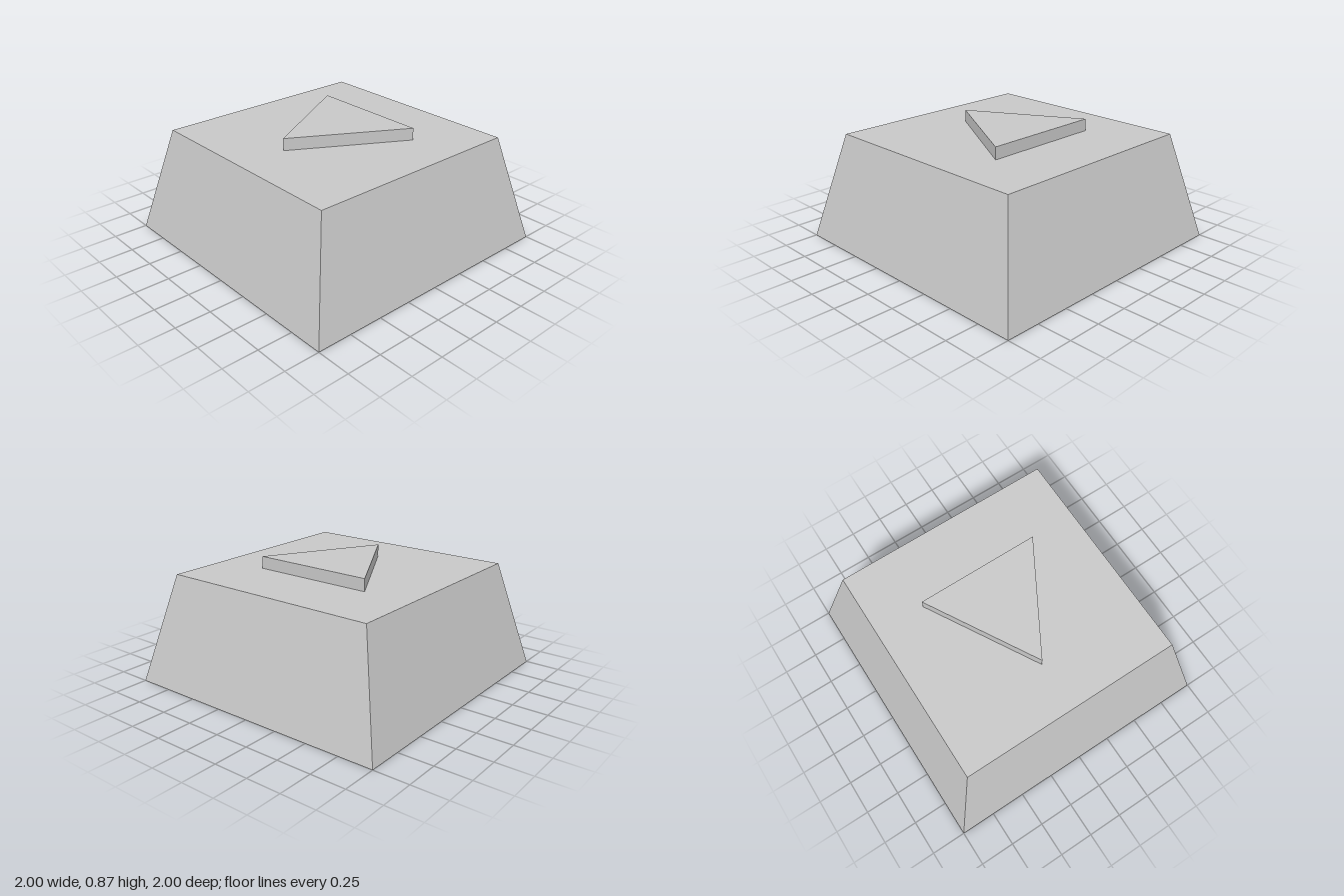
import * as THREE from 'three';
import { toCreasedNormals } from 'three/addons/utils/BufferGeometryUtils.js';

// Extrudes a flat shape straight up from height y.
function extrudeUp(shape, y, depth) {
  const geometry = new THREE.ExtrudeGeometry(shape, { depth, bevelEnabled: false, curveSegments: 48 });
  geometry.rotateX(-Math.PI / 2);
  geometry.translate(0, y, 0);
  return toCreasedNormals(geometry, 0.5);
}

export function createModel() {
  const group = new THREE.Group();
  const grey = new THREE.MeshStandardMaterial({ color: 0xc8c8c8 });
  grey.name = 'light grey plastic';

  const add = (name, geometry) => {
    const mesh = new THREE.Mesh(geometry, grey);
    mesh.name = name;
    group.add(mesh);
  };

  // Hollow tapered shell: four-sided lathe, from the inner ceiling round the rim to the top
  const profile = [[0, 0.65], [0.68, 0.65], [0.845, 0], [1, 0], [0.805, 0.78], [0, 0.78]]
    .map(([half, y]) => new THREE.Vector2(half * Math.SQRT2, y));
  const shell = new THREE.LatheGeometry(profile, 4, Math.PI / 4).toNonIndexed();
  shell.computeVertexNormals();
  add('keycapShell', shell);

  // Raised triangular arrow on the top face, pointing to -x
  const arrow = new THREE.Shape([
    new THREE.Vector2(-0.445, 0),
    new THREE.Vector2(0.333, -0.445),
    new THREE.Vector2(0.333, 0.445),
  ]);
  add('raisedArrow', extrudeUp(arrow, 0.77, 0.097));

  // Round stem hanging from the ceiling, with a cross-shaped socket
  const stem = new THREE.Shape().absarc(0, 0, 0.305, 0, Math.PI * 2, false);
  const L = 0.222, w = 0.07;
  const cross = [];
  for (let i = 0; i < 4; i++) {
    const corner = new THREE.Vector2();
    for (const [x, y] of [[L, -w], [L, w], [w, w]]) {
      cross.push(corner.set(x, y).clone().rotateAround(new THREE.Vector2(), i * Math.PI / 2));
    }
  }
  stem.holes.push(new THREE.Path(cross.reverse()));
  add('stem', extrudeUp(stem, 0.175, 0.485));

  return group;
}
